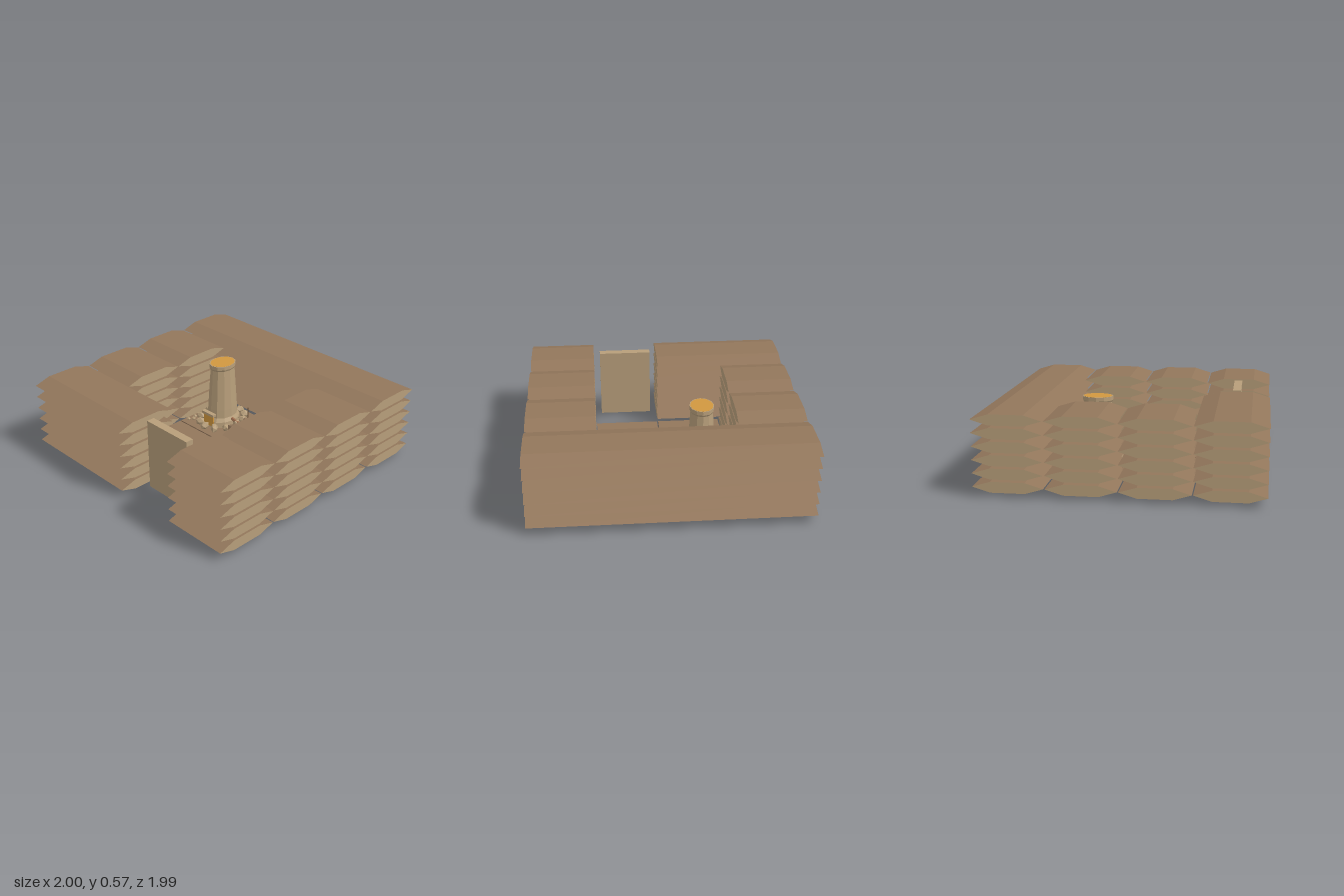
import * as THREE from 'three';

const mat = (name, color, extra = {}) => {
  const m = new THREE.MeshStandardMaterial({ color, flatShading: true, ...extra });
  m.name = name;
  return m;
};

export function createModel() {
  const root = new THREE.Group();
  root.name = 'logCabin';
  const bark = mat('bark brown', 0x92765b);
  const wood = mat('cut wood tan', 0xb79e7a);
  const ember = mat('ember orange', 0xd0973f);
  const dark = mat('dark earth', 0x6a5038);
  const rust = mat('reddish handle', 0x9a6a4c);

  const add = (parent, name, geo, material, x = 0, y = 0, z = 0) => {
    const m = new THREE.Mesh(geo, material);
    m.name = name;
    m.position.set(x, y, z);
    parent.add(m);
    return m;
  };

  // Flattened hexagonal logs running along x, with pale cut ends
  const section = new THREE.Shape([
    [-0.245, 0], [-0.12, -0.038], [0.12, -0.038], [0.245, 0], [0.12, 0.038], [-0.12, 0.038],
  ].map(([a, b]) => new THREE.Vector2(a, b)));
  const walls = new THREE.Group();
  walls.name = 'logWalls';
  root.add(walls);
  const stacks = [ // x start, x end, z centre
    [-1, 1, -0.75],
    [-1, -0.505, -0.25], [0.5, 1, -0.25],
    [-1, -0.505, 0.248], [0.5, 1, 0.248],
    [-1, -0.005, 0.746], [0.5, 1, 0.746],
  ];
  for (const [x0, x1, z] of stacks) {
    const geo = new THREE.ExtrudeGeometry(section, { depth: x1 - x0, bevelEnabled: false });
    geo.rotateY(Math.PI / 2);
    for (let i = 0; i < 6; i++) add(walls, 'log', geo, [wood, bark], x0, 0.072 + i * 0.0932, z);
  }

  // Four floor tiles
  const tile = new THREE.BoxGeometry(0.49, 0.025, 0.49);
  for (const x of [-0.252, 0.248])
    for (const z of [-0.253, 0.247]) add(root, 'floorTile', tile, bark, x, 0.0425, z);

  // Standing door slab in the front gap
  add(root, 'door', new THREE.BoxGeometry(0.405, 0.54, 0.06), wood, 0.248, 0.305, 0.745);

  // Tapered oval furnace
  const furnace = new THREE.Group();
  furnace.name = 'furnace';
  furnace.position.set(-0.27, 0, -0.255);
  root.add(furnace);
  const profile = [
    [0.155, 0.05], [0.15, 0.1], [0.13, 0.13], [0.127, 0.2], [0.104, 0.53],
    [0.113, 0.545], [0.113, 0.574], [0.103, 0.574],
  ].map(([r, y]) => new THREE.Vector2(r, y));
  const body = add(furnace, 'chimney', new THREE.LatheGeometry(profile, 12), wood);
  body.scale.x = 0.8;
  const top = add(furnace, 'glowingTop', new THREE.CylinderGeometry(0.106, 0.106, 0.006, 12), ember, 0, 0.572, 0);
  top.scale.x = 0.8;
  add(furnace, 'fireMouth', new THREE.BoxGeometry(0.11, 0.09, 0.008), ember, 0, 0.115, 0.152);
  add(furnace, 'lintel', new THREE.BoxGeometry(0.125, 0.02, 0.035), wood, 0, 0.172, 0.15);

  // Faceted stones: a sphere with few sides, pushed about by a fixed rule
  const stone = (parent, name, material, x, y, z, sx, sy, sz, turn) => {
    const geo = new THREE.IcosahedronGeometry(1, 0);
    const p = geo.attributes.position;
    for (let i = 0; i < p.count; i++) {
      const k = 1 + 0.1 * Math.sin(7 * p.getX(i) + 5 * p.getY(i) + 3 * p.getZ(i) + turn * 4);
      p.setXYZ(i, p.getX(i) * k, p.getY(i) * k, p.getZ(i) * k);
    }
    geo.computeVertexNormals();
    const m = add(parent, name, geo, material, x, y, z);
    m.scale.set(sx, sy, sz);
    m.rotation.y = turn;
    return m;
  };

  // Ring of stones around the furnace foot
  for (let i = 0; i < 12; i++) {
    const a = (i / 12) * Math.PI * 2;
    stone(furnace, 'ringStone', wood, Math.sin(a) * 0.16, 0.078, Math.cos(a) * 0.195,
      0.03, 0.032 + 0.006 * (i % 2), 0.042, a);
  }

  // Two boulders with a handle and a thin upright stick beside them
  stone(root, 'boulder', bark, -0.055, 0.085, -0.325, 0.052, 0.045, 0.058, 0.4);
  stone(root, 'boulder', bark, -0.057, 0.085, -0.17, 0.05, 0.042, 0.06, 1.7);
  const handle = add(root, 'toolHandle', new THREE.CylinderGeometry(0.013, 0.013, 0.11, 6), rust, -0.11, 0.1, -0.255);
  handle.rotation.z = 1.35;
  add(root, 'stick', new THREE.CylinderGeometry(0.005, 0.005, 0.16, 5), dark, -0.048, 0.15, -0.32);

  // Earth clump in the back corner and loose chips reaching through the floor
  stone(root, 'earthClump', bark, -0.45, 0.07, -0.43, 0.045, 0.04, 0.055, 0.9);
  for (let i = 0; i < 5; i++)
    stone(root, 'chip', wood, -0.465 + 0.022 * (i % 2), 0.06, -0.2 + i * 0.034, 0.015, 0.016, 0.018, i);
  for (let i = 0; i < 4; i++)
    stone(root, 'buriedChip', dark, -0.475 + 0.018 * (i % 2), 0.026, -0.19 + i * 0.035, 0.02, 0.024, 0.02, i * 1.3);

  return root;
}
